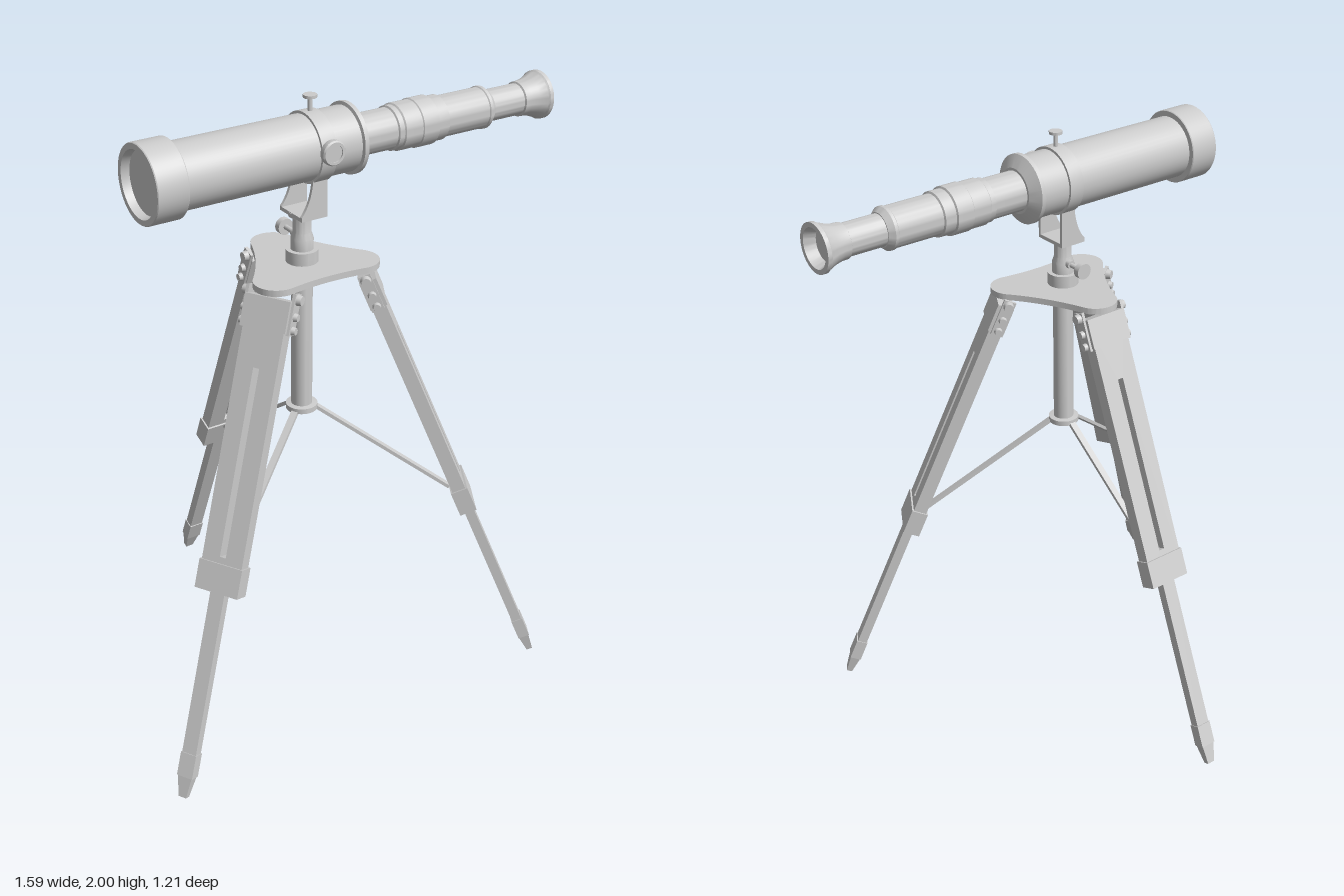
import * as THREE from 'three';
import { toCreasedNormals } from 'three/addons/utils/BufferGeometryUtils.js';

const mat = new THREE.MeshStandardMaterial({ color: 0xcccccc });
const CX = -0.1, CZ = 0.19, TUBE_Y = 1.843, BAND_X = -0.074;

function add(parent, name, geo, x = 0, y = 0, z = 0) {
  const mesh = new THREE.Mesh(geo, mat);
  mesh.name = name;
  mesh.position.set(x, y, z);
  parent.add(mesh);
  return mesh;
}

// Turned part from [radius, height] pairs, with sharp steps kept
function turned(profile, sides = 48) {
  const points = profile.map(([r, h]) => new THREE.Vector2(r, h));
  return toCreasedNormals(new THREE.LatheGeometry(points, sides), 0.5);
}

function extrude(shape, depth) {
  return toCreasedNormals(
    new THREE.ExtrudeGeometry(shape, { depth, bevelEnabled: false, curveSegments: 16 }), 0.5);
}

function buildTelescope() {
  const g = new THREE.Group();
  g.name = 'telescope';
  // Closed profile along the optical axis, recessed at both ends
  const body = turned([
    [0, -0.615], [0.095, -0.615], [0.1, -0.64], [0.117, -0.64], [0.119, -0.637], [0.119, -0.543],
    [0.117, -0.54], [0.1, -0.54], [0.1, 0.045], [0.11, 0.048], [0.11, 0.062], [0.072, 0.085],
    [0.064, 0.085], [0.064, 0.2], [0.069, 0.203], [0.069, 0.22], [0.073, 0.224], [0.073, 0.285],
    [0.076, 0.288], [0.076, 0.345], [0.07, 0.348], [0.07, 0.386], [0.064, 0.389], [0.064, 0.545],
    [0.067, 0.548], [0.067, 0.558], [0.053, 0.575], [0.05, 0.575], [0.05, 0.695], [0.055, 0.698],
    [0.056, 0.72], [0.062, 0.745], [0.073, 0.772], [0.077, 0.777], [0.077, 0.79], [0.062, 0.79],
    [0.05, 0.755], [0, 0.755],
  ]);
  add(g, 'opticalTube', body, 0, TUBE_Y, CZ).rotation.z = -Math.PI / 2;
  return g;
}

function buildMount() {
  const g = new THREE.Group();
  g.name = 'mount';
  // Stepped swivel post and the fork base
  add(g, 'swivelPost', turned([
    [0, 1.48], [0.05, 1.48], [0.05, 1.525], [0.035, 1.525], [0.035, 1.56], [0.028, 1.58],
    [0.028, 1.632], [0.042, 1.632], [0.042, 1.646], [0, 1.646],
  ], 32), CX, 0, CZ);
  add(g, 'forkBase', new THREE.BoxGeometry(0.09, 0.012, 0.12), -0.095, 1.642, CZ);

  // Fork arms with a curved outer edge
  const arm = new THREE.Shape();
  arm.moveTo(-0.14, 1.636);
  arm.lineTo(-0.05, 1.636);
  arm.lineTo(-0.05, 1.765);
  arm.lineTo(-0.1, 1.765);
  arm.quadraticCurveTo(-0.105, 1.69, -0.14, 1.65);
  for (const s of [-1, 1]) add(g, 'forkArm', extrude(arm, 0.01), 0, 0, CZ + s * 0.055 - 0.005);

  // Clamp band around the tube
  const band = turned([
    [0.099, -0.025], [0.108, -0.025], [0.108, 0.025], [0.099, 0.025],
  ]);
  add(g, 'clampBand', band, BAND_X, TUBE_Y, CZ).rotation.z = -Math.PI / 2;
  add(g, 'clampScrew', turned([
    [0, -0.06], [0.007, -0.06], [0.007, 0.035], [0.021, 0.037], [0.021, 0.046], [0, 0.046],
  ], 20), BAND_X, 1.954, CZ);

  // Round front knob and rear locking screw
  add(g, 'tiltKnob', turned([
    [0, -0.04], [0.02, -0.04], [0.02, 0], [0.036, 0], [0.038, 0.005], [0.038, 0.019],
    [0.034, 0.024], [0.026, 0.024], [0.026, 0.02], [0, 0.02],
  ], 32), BAND_X, 1.86, 0.3).rotation.x = Math.PI / 2;
  add(g, 'lockingScrew', turned([
    [0, 0], [0.014, 0], [0.014, 0.045], [0.008, 0.045], [0.008, 0.09], [0.026, 0.09],
    [0.026, 0.11], [0, 0.11],
  ], 24), CX, 1.56, CZ).rotation.x = -Math.PI / 2;
  return g;
}

function buildHub() {
  const g = new THREE.Group();
  g.name = 'hub';
  // Three rounded lobes joined by hollowed sides
  const shape = new THREE.Shape();
  const end = (a, t) => [0.165 * Math.cos(a) + 0.07 * Math.cos(t), 0.165 * Math.sin(a) + 0.07 * Math.sin(t)];
  for (let i = 0; i < 3; i++) {
    const a = -Math.PI / 2 + i * Math.PI * 2 / 3, mid = a + Math.PI / 3, next = a + Math.PI * 2 / 3;
    if (i === 0) shape.moveTo(...end(a, a - 1.2));
    shape.absarc(0.165 * Math.cos(a), 0.165 * Math.sin(a), 0.07, a - 1.2, a + 1.2, false);
    shape.quadraticCurveTo(0.128 * Math.cos(mid), 0.128 * Math.sin(mid), ...end(next, next - 1.2));
  }
  add(g, 'hubPlate', extrude(shape, 0.02), CX, 1.485, CZ).rotation.x = Math.PI / 2;
  add(g, 'centreColumn', turned([
    [0, 0.978], [0.05, 0.978], [0.05, 0.995], [0.033, 0.997], [0.033, 1.47], [0, 1.47],
  ], 32), CX, 0, CZ);
  return g;
}

// One leg leaning outward along +z, with its brace
function buildLeg(angle) {
  const g = new THREE.Group();
  g.name = 'legAssembly';
  g.position.set(CX, 0, CZ);
  g.rotation.y = angle;

  const leg = new THREE.Group();
  leg.name = 'leg';
  leg.position.set(0, 1.45, 0.19);
  leg.rotation.x = -Math.atan2(0.6, 1.45);
  g.add(leg);

  // Slotted upper board
  const board = new THREE.Shape();
  board.moveTo(-0.068, -0.9);
  board.lineTo(0.068, -0.9);
  board.lineTo(0.068, -0.03);
  board.lineTo(-0.068, -0.03);
  board.closePath();
  const slot = new THREE.Path();
  slot.moveTo(-0.01, -0.8);
  slot.lineTo(-0.01, -0.22);
  slot.lineTo(0.01, -0.22);
  slot.lineTo(0.01, -0.8);
  slot.closePath();
  board.holes.push(slot);
  add(leg, 'upperLeg', extrude(board, 0.044), 0, 0, -0.022);
  add(leg, 'topCap', new THREE.BoxGeometry(0.148, 0.095, 0.054), 0, -0.055, 0);
  add(leg, 'bottomCap', new THREE.BoxGeometry(0.146, 0.09, 0.056), 0, -0.865, 0);

  // Hinge plates with three bolts each
  for (const s of [-1, 1]) {
    add(leg, 'hingePlate', new THREE.BoxGeometry(0.01, 0.125, 0.04), s * 0.077, -0.045, -0.004);
    [0, 0.052, 0.092].forEach((d, i) => {
      const bolt = new THREE.CylinderGeometry(0.011, 0.014, 0.014, 16);
      bolt.rotateZ(-s * Math.PI / 2);
      if (i === 0) bolt.scale(1.5, 1.3, 1.3);
      add(leg, 'hingeBolt', bolt, s * 0.087, -d, -0.004);
    });
  }

  // Sliding lower leg, collar and tapered foot
  add(leg, 'lowerLeg', new THREE.BoxGeometry(0.048, 0.55, 0.032), 0, -1.175, 0);
  add(leg, 'footCollar', new THREE.BoxGeometry(0.053, 0.075, 0.038), 0, -1.46, 0);
  const foot = new THREE.CylinderGeometry(0.034, 0.019, 0.07, 4, 1).toNonIndexed();
  foot.rotateY(Math.PI / 4);
  foot.scale(1, 1, 0.72);
  foot.computeVertexNormals();
  add(leg, 'foot', foot, 0, -1.53, 0);

  // Flat brace from the column to the leg
  const rise = 0.315, run = 0.44;
  const brace = add(g, 'brace', new THREE.BoxGeometry(0.022, 0.011, Math.hypot(rise, run)),
    0, 0.985 - rise / 2, 0.04 + run / 2);
  brace.rotation.x = Math.atan2(rise, run);
  return g;
}

export function createModel() {
  const model = new THREE.Group();
  model.name = 'telescopeOnTripod';
  model.add(buildTelescope(), buildMount(), buildHub());
  for (const angle of [Math.PI, Math.PI / 3, -Math.PI / 3]) model.add(buildLeg(angle));
  return model;
}
